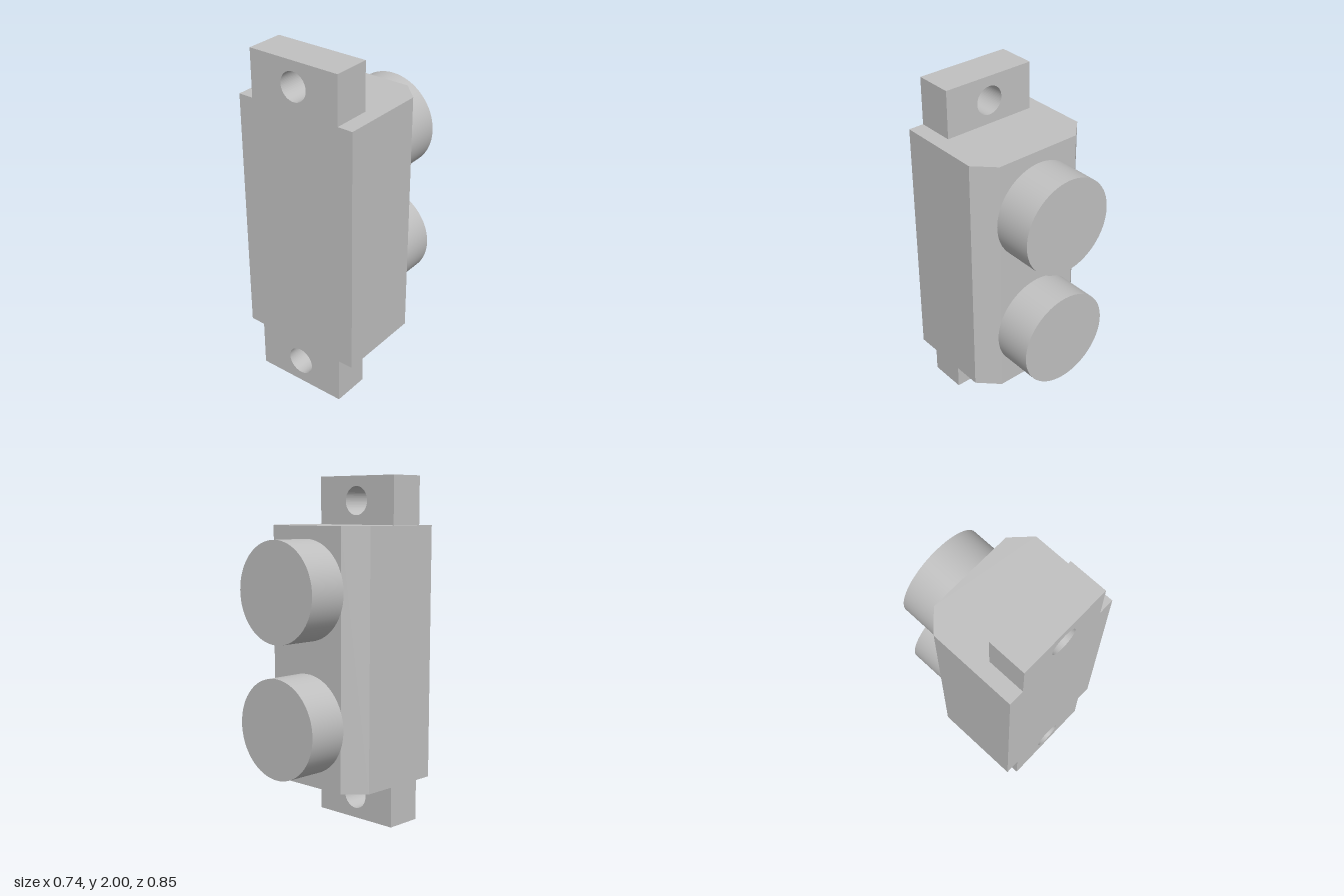
import * as THREE from 'three';

export function createModel() {
  const model = new THREE.Group();
  const grey = new THREE.MeshStandardMaterial({ color: 0xc0c0c0 });
  grey.name = 'plain grey';

  const add = (name, geometry, x, y, z) => {
    const mesh = new THREE.Mesh(geometry, grey);
    mesh.name = name;
    mesh.position.set(x, y, z);
    model.add(mesh);
  };

  const front = 0.427, back = -0.193;
  const bottom = 0.277, top = 1.725;

  // Housing: plan outline (x, -z) with chamfered rear corners, extruded upward
  const outline = new THREE.Shape([
    [-0.37, -front], [0.37, -front], [0.37, 0.085],
    [0.26, -back], [-0.26, -back], [-0.37, 0.085],
  ].map(([x, y]) => new THREE.Vector2(x, y)));
  const housing = new THREE.ExtrudeGeometry(outline, { depth: top - bottom, bevelEnabled: false });
  housing.rotateX(-Math.PI / 2);
  add('housing', housing, 0, bottom, 0);

  // Mounting tabs with a round screw hole, flush with the front face
  const tabHalf = 0.28, tabBack = 0.205;
  const addTab = (name, y0, y1, holeY) => {
    const shape = new THREE.Shape();
    shape.moveTo(-tabHalf, y0);
    shape.lineTo(tabHalf, y0);
    shape.lineTo(tabHalf, y1);
    shape.lineTo(-tabHalf, y1);
    shape.closePath();
    const hole = new THREE.Path();
    hole.absarc(0, holeY, 0.082, 0, Math.PI * 2, true);
    shape.holes.push(hole);
    const tab = new THREE.ExtrudeGeometry(shape, {
      depth: front - tabBack, bevelEnabled: false, curveSegments: 32,
    });
    add(name, tab, 0, 0, tabBack);
  };
  addTab('lowerMountingTab', 0, bottom, 0.14);
  addTab('upperMountingTab', top, 2, 1.86);

  // Round connectors projecting from the back
  const depth = 0.234;
  for (const [name, y] of [['lowerConnector', 0.632], ['upperConnector', 1.374]]) {
    const drum = new THREE.CylinderGeometry(0.28, 0.28, depth, 64);
    drum.rotateX(Math.PI / 2);
    add(name, drum, 0, y, back - depth / 2);
  }

  return model;
}
